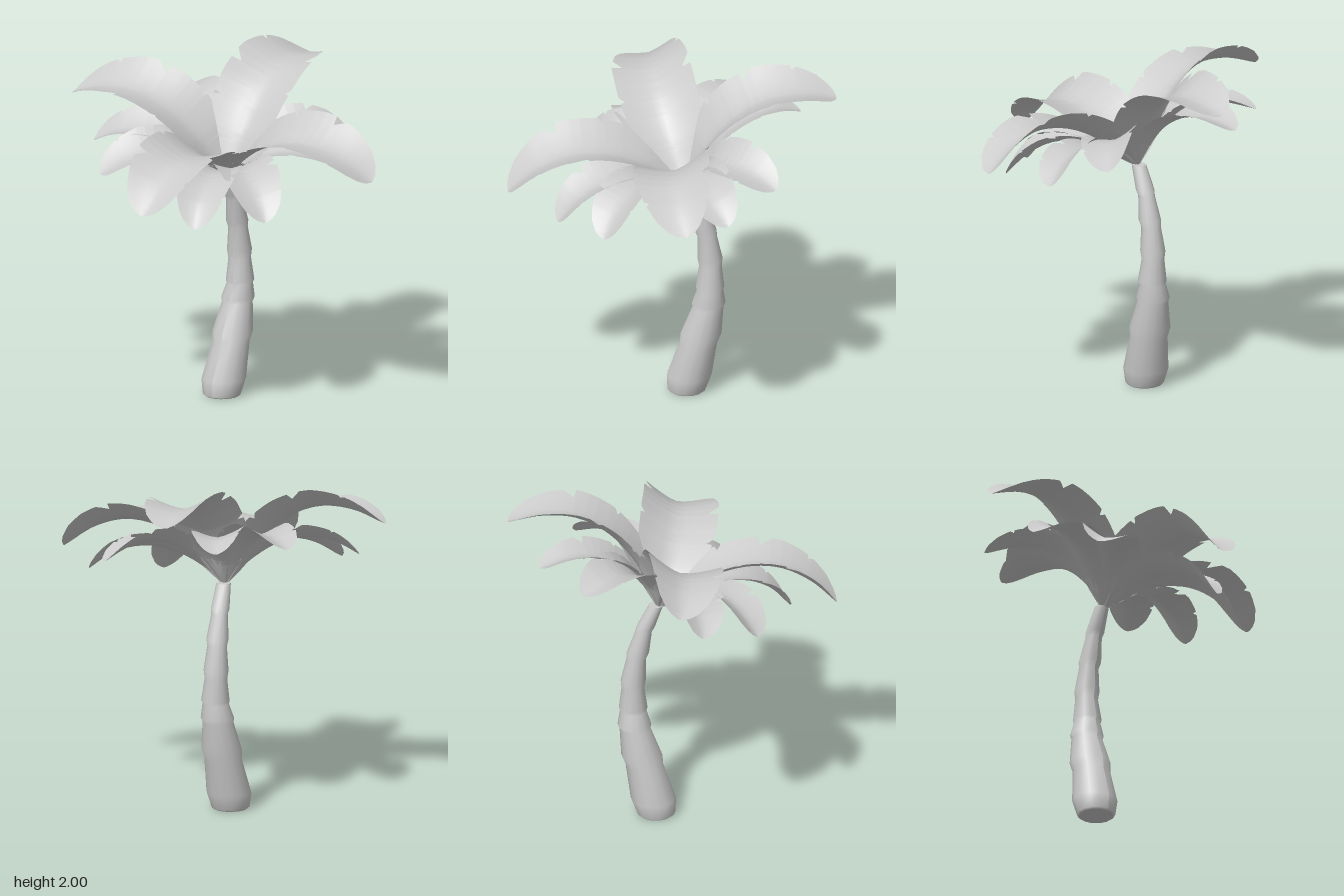
import * as THREE from 'three';

const material = new THREE.MeshStandardMaterial({ color: 0xcccccc });
const leafMaterial = new THREE.MeshStandardMaterial({ color: 0xcccccc, side: THREE.DoubleSide });

// Trunk rings from top to bottom: [y, centre x, centre z, radius]
const RINGS = [
  [1.34, -0.032, -0.09, 0.042], [1.2, -0.033, -0.15, 0.054], [1.17, -0.033, -0.162, 0.048],
  [1.03, -0.033, -0.195, 0.065], [0.99, -0.034, -0.205, 0.057], [0.85, -0.034, -0.222, 0.073],
  [0.8, -0.034, -0.224, 0.066], [0.67, -0.03, -0.222, 0.083], [0.65, -0.032, -0.222, 0.077],
  [0.565, -0.04, -0.215, 0.098], [0.54, -0.042, -0.211, 0.09], [0.37, -0.05, -0.172, 0.119],
  [0.31, -0.053, -0.157, 0.109], [0.1, -0.07, -0.105, 0.131], [0.01, -0.073, -0.09, 0.112],
  [0, -0.073, -0.09, 0.1],
];

// Unit cylinder whose rows are moved onto the leaning rings
function createTrunk() {
  const rows = RINGS.length - 1;
  const geo = new THREE.CylinderGeometry(1, 1, 1, 14, rows);
  const p = geo.attributes.position;
  for (let i = 0; i < p.count; i++) {
    const [y, cx, cz, r] = RINGS[Math.round((0.5 - p.getY(i)) * rows)];
    p.setXYZ(i, cx + p.getX(i) * r, y, cz + p.getZ(i) * r);
  }
  geo.computeVertexNormals();
  const trunk = new THREE.Mesh(geo, material);
  trunk.name = 'trunk';
  return trunk;
}

// Half width of a frond along its length, as a share of its widest point
const OUTLINE = [[0, 0.1], [0.08, 0.42], [0.17, 0.76], [0.3, 0.94], [0.48, 1], [0.65, 0.98],
  [0.8, 0.83], [0.9, 0.63], [0.96, 0.41], [0.985, 0.25], [1, 0.06]];

function halfWidth(t) {
  const k = OUTLINE.findIndex(([s]) => s >= t);
  if (k <= 0) return OUTLINE[0][1];
  const [a, wa] = OUTLINE[k - 1], [b, wb] = OUTLINE[k];
  return wa + (wb - wa) * (t - a) / (b - a);
}

// Torn nicks per edge: [start, end, depth]
const NICKS = [
  [[0.2, 0.25, 0.3], [0.44, 0.47, 0.12], [0.66, 0.72, 0.25]],
  [[0.16, 0.22, 0.4], [0.35, 0.38, 0.15], [0.55, 0.61, 0.24], [0.78, 0.81, 0.14]],
];
const EPS = 0.008;

function nickFactor(t, nicks) {
  for (const [a, b, depth] of nicks) {
    if (t > a && t < b) return 1 - depth * Math.min((t - a) / EPS, (b - t) / (b - a - EPS));
  }
  return 1;
}

// Gutter-shaped leaf growing along +x, arched along the rib
function createFrondGeometry(ribPoints, width, flip) {
  const rib = new THREE.CatmullRomCurve3(ribPoints.map(([r, y]) => new THREE.Vector3(r, y, 0)));
  const nicks = flip ? [NICKS[1], NICKS[0]] : NICKS;
  const stops = [];
  for (let i = 0; i <= 20; i++) stops.push(i / 20);
  for (const [a, b] of nicks.flat()) stops.push(a, a + EPS, b);
  OUTLINE.forEach(([s]) => stops.push(s));
  const ts = [...new Set(stops.map((s) => +s.toFixed(4)))].sort((a, b) => a - b);

  const cols = 8, pos = [], index = [];
  ts.forEach((t, i) => {
    const c = rib.getPointAt(t), tan = rib.getTangentAt(t);
    for (let j = 0; j <= cols; j++) {
      const u = (j / cols) * 2 - 1;
      const d = u * width * halfWidth(t) * nickFactor(t, nicks[u < 0 ? 0 : 1]);
      const rise = 0.38 * width * Math.pow(Math.abs(d) / width, 1.4);
      pos.push(c.x - tan.y * rise, c.y + tan.x * rise, d);
      if (i && j) {
        const q = i * (cols + 1) + j, o = q - cols - 1;
        index.push(o - 1, o, q - 1, o, q, q - 1);
      }
    }
  });
  const geo = new THREE.BufferGeometry();
  geo.setAttribute('position', new THREE.Float32BufferAttribute(pos, 3));
  geo.setIndex(index);
  geo.computeVertexNormals();
  return geo;
}

// Three whorls of four fronds: rib as [reach, height], half width, angles in degrees
const WHORLS = [
  { name: 'upperFrond', width: 0.228, angles: [-2, 90, 181, 270],
    rib: [[0.01, 0], [0.2, 0.22], [0.4, 0.357], [0.6, 0.408], [0.8, 0.375], [0.988, 0.282]] },
  { name: 'lowerFrond', width: 0.165, angles: [15, 106, 195, 286],
    rib: [[0.01, 0], [0.16, 0.13], [0.32, 0.215], [0.48, 0.24], [0.64, 0.21], [0.785, 0.125]] },
  { name: 'diagonalFrond', width: 0.17, angles: [43, 138, 225, 317],
    rib: [[0.01, 0], [0.15, 0.13], [0.3, 0.22], [0.45, 0.25], [0.6, 0.22], [0.755, 0.14]] },
];

function createCrown() {
  const crown = new THREE.Group();
  crown.name = 'crown';
  for (const { name, width, angles, rib } of WHORLS) {
    angles.forEach((deg, i) => {
      const frond = new THREE.Mesh(createFrondGeometry(rib, width, i % 2 === 1), leafMaterial);
      frond.name = name + (i + 1);
      frond.rotation.y = THREE.MathUtils.degToRad(deg);
      crown.add(frond);
    });
  }
  // The crown leans forward and to its left
  crown.position.set(-0.035, 1.335, -0.072);
  crown.rotation.set(THREE.MathUtils.degToRad(15.3), 0, THREE.MathUtils.degToRad(-8.5));
  return crown;
}

export function createModel() {
  const model = new THREE.Group();
  model.name = 'palmTree';
  model.add(createTrunk(), createCrown());
  return model;
}
